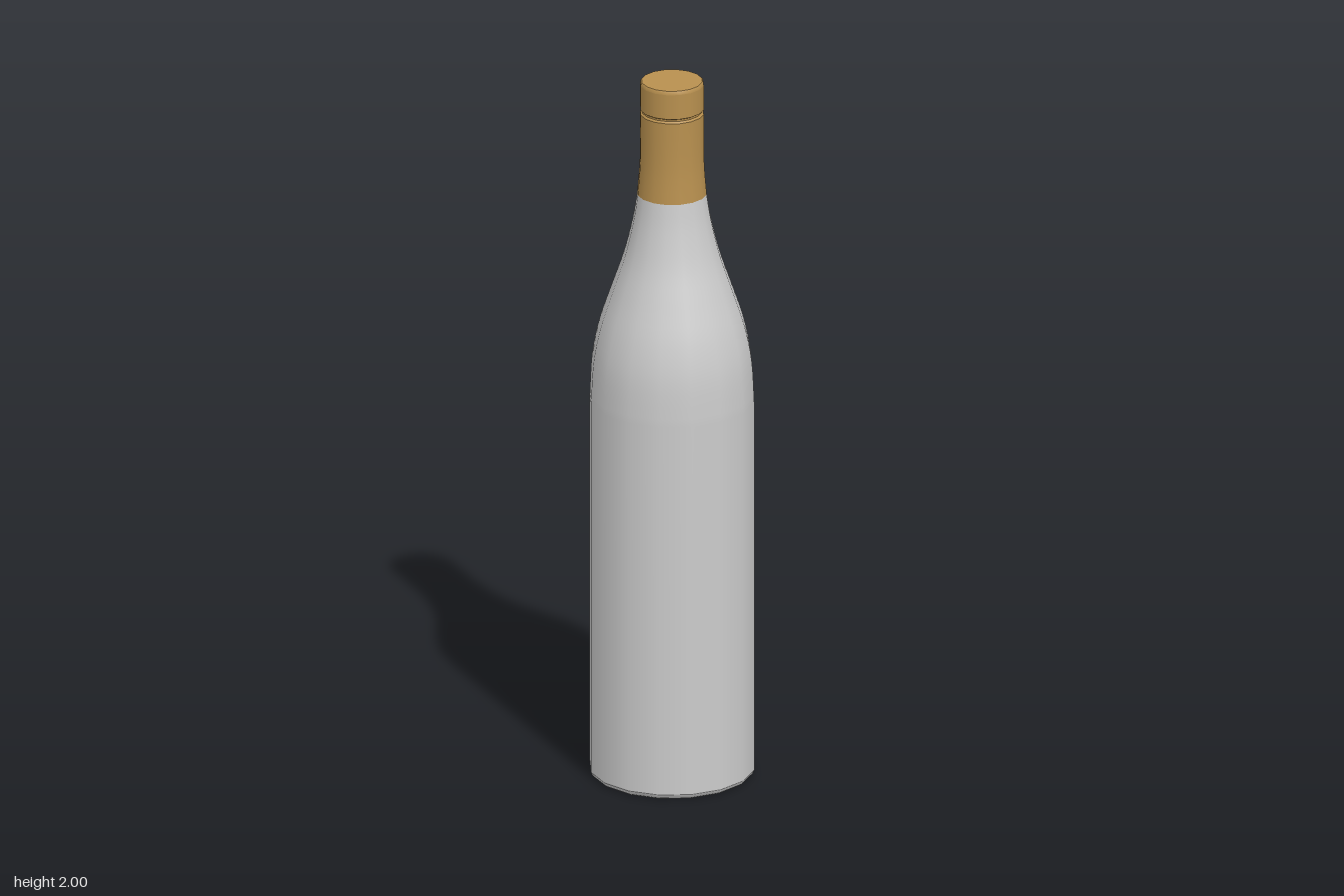
import * as THREE from 'three';

const SIDES = 16;
const glass = new THREE.MeshStandardMaterial({ color: 0xcccccc });
const foil = new THREE.MeshStandardMaterial({ color: 0xb8904f });

// Revolve each [radius, height] strip on its own, so edges between strips stay sharp
function turned(name, material, strips) {
  const group = new THREE.Group();
  group.name = name;
  strips.forEach((strip, i) => {
    const points = strip.map(([r, y]) => new THREE.Vector2(r, y));
    const mesh = new THREE.Mesh(new THREE.LatheGeometry(points, SIDES), material);
    mesh.name = name + 'Surface' + (i + 1);
    group.add(mesh);
  });
  return group;
}

// Smooth curve through a few profile points
function smooth(points, steps) {
  const curve = new THREE.SplineCurve(points.map(([r, y]) => new THREE.Vector2(r, y)));
  return curve.getPoints(steps).map((p) => [p.x, p.y]);
}

export function createModel() {
  const bottle = new THREE.Group();
  bottle.name = 'bottle';

  // Hollow underside, rising to a dome in the middle
  const punt = [];
  for (let i = 0; i <= 8; i++) {
    const a = (i / 8) * Math.PI / 2;
    punt.push([0.197 * Math.sin(a), 0.005 + 0.1 * Math.cos(a)]);
  }
  bottle.add(turned('base', glass, [
    punt,
    [[0.197, 0.005], [0.203, 0], [0.213, 0]],
    [[0.213, 0], [0.221, 0.005], [0.225, 0.015]],
  ]));

  // Straight body and sloping shoulder
  const shoulder = smooth([
    [0.225, 1.08], [0.218, 1.2], [0.198, 1.3], [0.165, 1.4],
    [0.131, 1.5], [0.107, 1.6], [0.095, 1.675],
  ], 24);
  bottle.add(turned('body', glass, [[[0.225, 0.015], [0.225, 0.55], ...shoulder]]));

  // Foil sleeve around the neck
  const sleeve = smooth([[0.095, 1.675], [0.089, 1.75], [0.087, 1.82], [0.087, 1.907]], 10);
  bottle.add(turned('neckFoil', foil, [
    sleeve,
    [[0.087, 1.907], [0.082, 1.912]],
    [[0.082, 1.912], [0.082, 1.917]],
  ]));

  // Cap with a softened top edge
  bottle.add(turned('cap', foil, [
    [[0.082, 1.917], [0.087, 1.92]],
    [[0.087, 1.92], [0.087, 1.99]],
    [[0.087, 1.99], [0.086, 1.997], [0.083, 2]],
    [[0.083, 2], [0, 2]],
  ]));

  return bottle;
}
